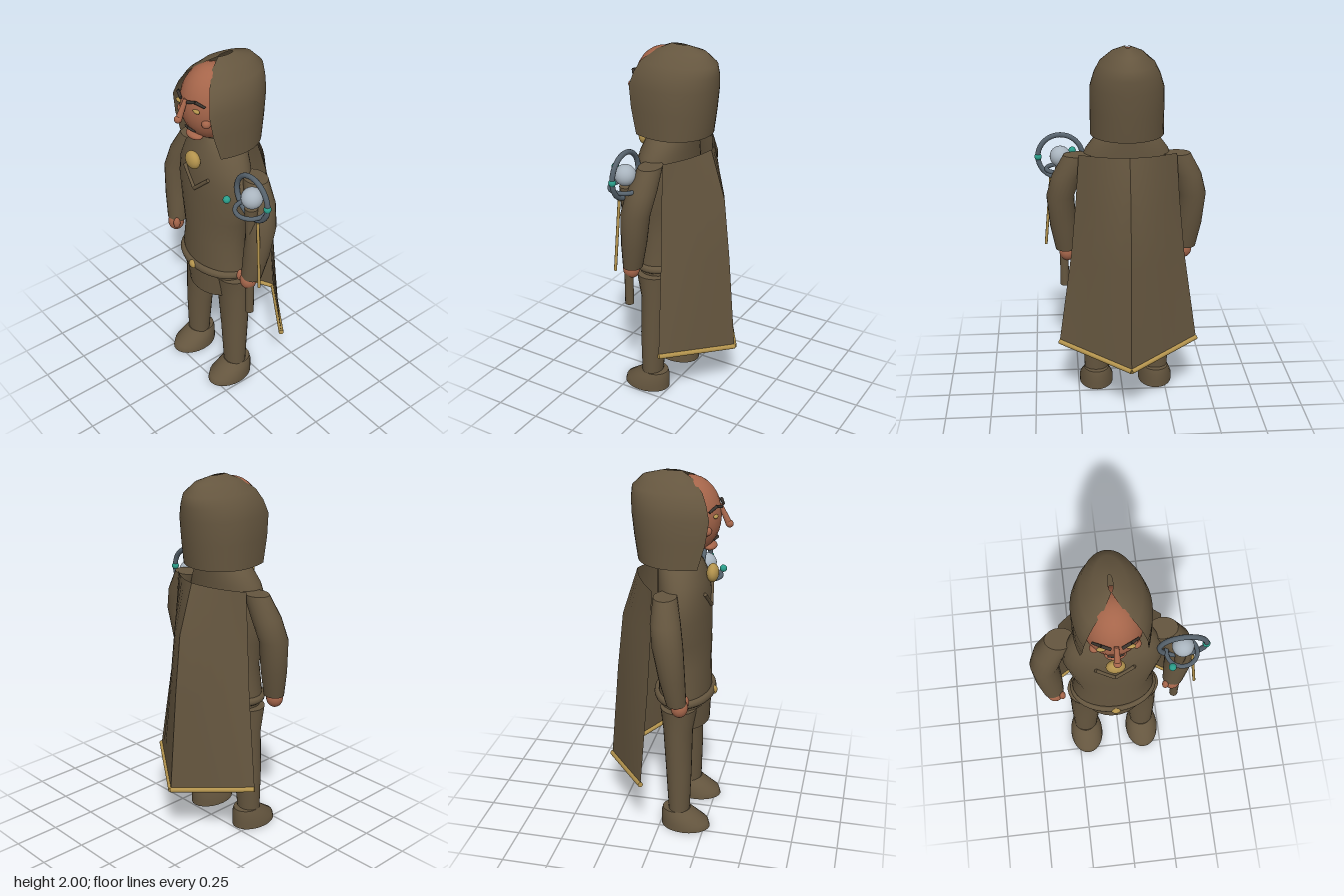
import * as THREE from 'three';

const mat = (name, color, opts = {}) => {
  const m = new THREE.MeshStandardMaterial({ color, ...opts });
  m.name = name;
  return m;
};

export function createModel() {
  const model = new THREE.Group();
  model.name = 'cloakedTraveller';
  const cloth = mat('brown cloth', 0x65563f);
  const cloak = cloth.clone();
  cloak.side = THREE.DoubleSide;
  cloak.name = 'brown cloak';
  const skin = mat('skin', 0xa5654a);
  const gold = mat('gold', 0xb3934d);
  const dark = mat('dark hair', 0x3a342e);
  const steel = mat('steel', 0x56626c);
  const pale = mat('pale orb', 0xa9b4be);
  const teal = mat('teal gem', 0x2a9d8a);
  const CX = -0.027;

  const add = (name, geo, material, x = 0, y = 0, z = 0, parent = model) => {
    const m = new THREE.Mesh(geo, material);
    m.name = name;
    m.position.set(x, y, z);
    parent.add(m);
    return m;
  };
  const ball = (name, material, x, y, z, rx, ry = rx, rz = rx) => {
    const m = add(name, new THREE.SphereGeometry(1, 24, 16), material, x, y, z);
    m.scale.set(rx, ry, rz);
    return m;
  };
  const rod = (name, material, a, b, r0, r1 = r0) => {
    const p = new THREE.Vector3(...a), q = new THREE.Vector3(...b);
    const d = q.clone().sub(p);
    const m = add(name, new THREE.CylinderGeometry(r1, r0, d.length(), 12), material);
    m.position.copy(p).add(q).multiplyScalar(0.5);
    m.quaternion.setFromUnitVectors(new THREE.Vector3(0, 1, 0), d.normalize());
    return m;
  };
  const build = (pos, idx) => {
    const g = new THREE.BufferGeometry();
    g.setAttribute('position', new THREE.Float32BufferAttribute(pos, 3));
    g.setIndex(idx);
    g.computeVertexNormals();
    return g;
  };
  // Capped solid through horizontal ellipses, rows upward: [y, cx, cz, rx, rz]
  const loft = (rows, n = 24) => {
    const pos = [], idx = [];
    const ring = ([y, cx, cz, rx, rz]) => {
      for (let i = 0; i < n; i++) {
        const a = (i / n) * Math.PI * 2;
        pos.push(cx + rx * Math.cos(a), y, cz + rz * Math.sin(a));
      }
    };
    rows.forEach(ring);
    for (let j = 0; j < rows.length - 1; j++) for (let i = 0; i < n; i++) {
      const a = j * n + i, b = j * n + (i + 1) % n;
      idx.push(a, a + n, b, b, a + n, b + n);
    }
    [rows[0], rows[rows.length - 1]].forEach((r, k) => {
      const s = pos.length / 3;
      ring(r);
      pos.push(r[1], r[0], r[2]);
      for (let i = 0; i < n; i++) {
        const a = s + i, b = s + (i + 1) % n;
        idx.push(s + n, k ? b : a, k ? a : b);
      }
    });
    return build(pos, idx);
  };
  // Open sheet from a grid of points
  const sheet = (rows, cols, fn) => {
    const pos = [], idx = [];
    for (let j = 0; j <= rows; j++) for (let i = 0; i <= cols; i++) {
      pos.push(...fn(j, i / cols));
      if (j < rows && i < cols) {
        const a = j * (cols + 1) + i, b = a + cols + 1;
        idx.push(a, b, a + 1, a + 1, b, b + 1);
      }
    }
    return build(pos, idx);
  };

  // Torso, apron and belt
  add('torso', loft([
    [0.74, 0, 0.1, 0.215, 0.14], [0.82, 0, 0.1, 0.228, 0.142], [0.97, 0, 0.1, 0.203, 0.138],
    [1.12, 0, 0.1, 0.235, 0.137], [1.26, 0, 0.098, 0.262, 0.136], [1.36, 0, 0.092, 0.255, 0.135],
    [1.44, 0, 0.085, 0.225, 0.13], [1.51, 0, 0.07, 0.175, 0.12], [1.55, 0, 0.063, 0.125, 0.11],
    [1.575, 0, 0.06, 0.07, 0.1]], 32), cloth, CX);
  add('apron', loft([[0.6, 0, 0.105, 0.165, 0.13], [0.74, 0, 0.105, 0.197, 0.135],
    [0.78, 0, 0.105, 0.205, 0.135]], 32), cloth, CX);
  const belt = add('belt', new THREE.TorusGeometry(0.218, 0.024, 10, 40), cloth, CX, 0.782, 0.1);
  belt.rotation.x = Math.PI / 2;
  belt.scale.y = 0.69;
  ball('beltBuckle', gold, CX, 0.782, 0.26, 0.027, 0.023, 0.018);
  ball('brooch', gold, CX, 1.465, 0.24, 0.05, 0.05, 0.032);

  for (const s of [-1, 1]) {
    const X = (d) => CX + s * d;
    // Legs and boots
    add('leg', loft([[0.09, X(0.173), 0.105, 0.068, 0.058], [0.35, X(0.165), 0.1, 0.082, 0.07],
      [0.6, X(0.145), 0.09, 0.103, 0.08], [0.74, X(0.15), 0.095, 0.108, 0.1]]), cloth);
    add('boot', loft([[0, X(0.173), 0.143, 0.098, 0.137], [0.035, X(0.173), 0.138, 0.097, 0.132],
      [0.08, X(0.173), 0.105, 0.083, 0.1], [0.11, X(0.173), 0.09, 0.07, 0.078]]), cloth);
    // Arms and hands
    add('arm', loft([[0.85, X(0.335), 0.12, 0.058, 0.052], [1.0, X(0.35), 0.1, 0.072, 0.068],
      [1.18, X(0.362), 0.08, 0.076, 0.08], [1.3, X(0.325), 0.06, 0.082, 0.078],
      [1.42, X(0.265), 0.045, 0.078, 0.06]], 20), cloth);
    ball('hand', skin, X(0.328), 0.825, 0.135, 0.046, 0.052, 0.045);
    ball('thumb', skin, X(0.288), 0.842, 0.158, 0.018, 0.035, 0.02);
    // Chest chevron
    rod('chevron', cloth, [CX, 1.285, 0.236], [X(0.1), 1.38, 0.22], 0.01);
    // Face details
    rod('brow', dark, [X(0.026), 1.833, 0.283], [X(0.07), 1.845, 0.266], 0.008);
    rod('brow', dark, [X(0.07), 1.845, 0.266], [X(0.11), 1.822, 0.236], 0.008, 0.006);
    ball('eye', gold, X(0.07), 1.793, 0.262, 0.024, 0.01, 0.012);
    ball('cheek', skin, X(0.101), 1.722, 0.225, 0.024);
    rod('moustache', dark, [CX, 1.665, 0.262], [X(0.04), 1.657, 0.25], 0.007, 0.005);
  }

  // Head
  ball('head', skin, CX, 1.775, 0.12, 0.15, 0.203, 0.16);
  add('neck', new THREE.CylinderGeometry(0.075, 0.085, 0.16, 20), skin, CX, 1.6, 0.06);
  rod('nose', skin, [CX, 1.735, 0.32], [CX, 1.835, 0.272], 0.018, 0.011);
  ball('noseTip', skin, CX, 1.738, 0.322, 0.02);
  ball('lips', skin, CX, 1.615, 0.225, 0.055, 0.021, 0.035);

  // Hood rows: y, half width, centre z, back depth, front depth, wrap in degrees
  const hood = [[1.535, 0.197, 0.05, 0.205, 0.28, 120], [1.67, 0.197, 0.05, 0.225, 0.3, 126],
    [1.79, 0.196, 0.05, 0.238, 0.3, 130], [1.86, 0.175, 0.05, 0.24, 0.255, 133],
    [1.915, 0.147, 0.05, 0.235, 0.2, 138], [1.97, 0.085, 0.05, 0.18, 0.1, 152],
    [2.0, 0.012, 0.02, 0.04, 0.05, 180]];
  add('hood', sheet(hood.length - 1, 32, (j, u) => {
    const [y, a, zc, bb, bf, deg] = hood[j];
    const t = (u * 2 - 1) * deg * Math.PI / 180, c = Math.cos(t);
    return [a * Math.sin(t), y, zc - (c > 0 ? bb : bf) * c];
  }), cloak, CX);

  // Cape halves meeting at a centre ridge: half width, ridge y and z, edge y and z
  const cape = [[0.385, 0.3, -0.33, 0.36, -0.065], [0.31, 0.86, -0.285, 0.88, -0.04],
    [0.28, 1.19, -0.25, 1.19, -0.028], [0.262, 1.46, -0.165, 1.44, -0.025]];
  for (const s of [-1, 1]) {
    add('capeHalf', sheet(3, 6, (j, u) => {
      const [w, y0, z0, y1, z1] = cape[j];
      const fold = j ? 0.02 * Math.sin(u * Math.PI) : 0;
      return [s * w * u, y0 + (y1 - y0) * u, z0 + (z1 - z0) * u - fold];
    }), cloak, CX);
    rod('capeHem', gold, [CX, 0.3, -0.33], [CX + s * 0.385, 0.36, -0.065], 0.014);
  }

  // Staff with ringed orb
  rod('staff', cloth, [0.32, 0.62, 0.14], [0.32, 1.12, 0.14], 0.024);
  rod('staffTop', cloth, [0.32, 1.1, 0.14], [0.325, 1.32, 0.14], 0.024, 0.036);
  add('uprightRing', new THREE.TorusGeometry(0.121, 0.014, 12, 40), steel, 0.33, 1.383, 0.14);
  const flat = add('flatRing', new THREE.TorusGeometry(0.08, 0.012, 12, 36), steel, 0.327, 1.312, 0.145);
  flat.rotation.x = Math.PI / 2;
  ball('orb', pale, 0.33, 1.383, 0.14, 0.057);
  ball('sideGem', teal, 0.45, 1.383, 0.14, 0.02);
  ball('frontGem', teal, 0.262, 1.383, 0.247, 0.02);
  rod('hangingRod', gold, [0.42, 0.865, 0.158], [0.385, 1.26, 0.145], 0.008);

  return model;
}
